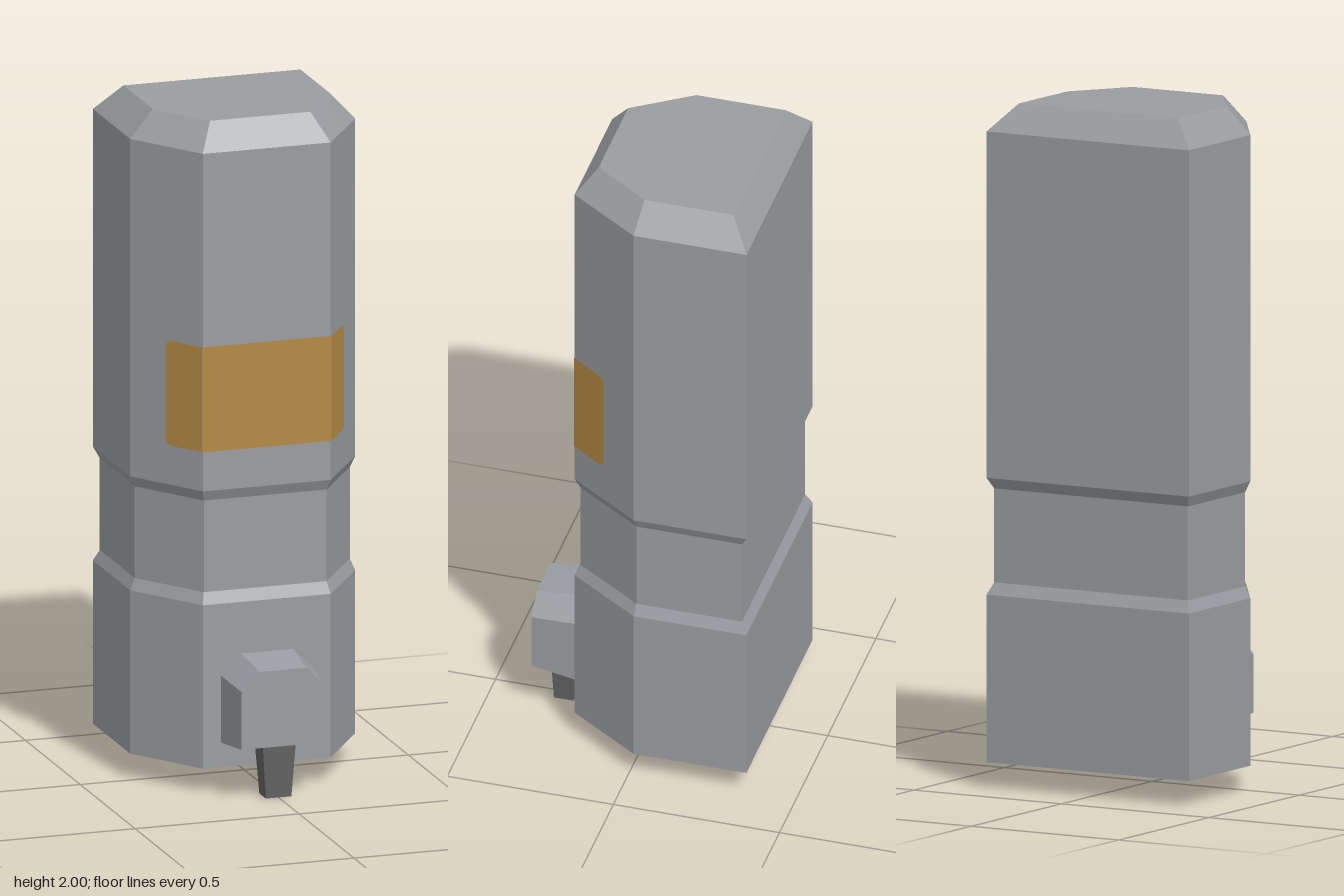
import * as THREE from 'three';

const mat = (name, color) => {
  const m = new THREE.MeshStandardMaterial({ color });
  m.name = name;
  return m;
};

// Flat-faced skin through convex rings; rings run counter-clockwise seen from the last one.
function loft(rings, { start = false, end = false } = {}) {
  const pos = [];
  const tri = (...pts) => pts.forEach((p) => pos.push(...p));
  const n = rings[0].length;
  for (let r = 0; r < rings.length - 1; r++) {
    const a = rings[r], b = rings[r + 1];
    for (let i = 0; i < n; i++) {
      const j = (i + 1) % n;
      tri(a[i], a[j], b[j]);
      tri(a[i], b[j], b[i]);
    }
  }
  const first = rings[0], last = rings[rings.length - 1];
  for (let i = 1; i < n - 1; i++) {
    if (start) tri(first[0], first[i + 1], first[i]);
    if (end) tri(last[0], last[i], last[i + 1]);
  }
  const g = new THREE.BufferGeometry();
  g.setAttribute('position', new THREE.Float32BufferAttribute(pos, 3));
  g.computeVertexNormals();
  return g;
}

// Six-sided housing section: half width, half front width, back, middle and front z
const section = (y, w, f, back, mid, front) => [
  [-w, y, back], [-w, y, mid], [-f, y, front], [f, y, front], [w, y, mid], [w, y, back],
];
const full = (y) => section(y, 0.343, 0.195, -0.355, -0.015, 0.205);
const waist = (y) => section(y, 0.328, 0.187, -0.337, -0.019, 0.19);
const cavity = (y) => section(y, 0.253, 0.147, -0.285, -0.03, 0.135);

const rectRing = (y, w, back, front) => [
  [-w, y, back], [-w, y, front], [w, y, front], [w, y, back],
];
const spoutRing = (z, w, t, bottom, mid, top) => [
  [-w, bottom, z], [w, bottom, z], [w, mid, z], [t, top, z], [-t, top, z], [-w, mid, z],
];

export function createModel() {
  const grey = mat('housing grey', 0x9a9da1);
  const dark = mat('dark grey', 0x626262);
  const amber = mat('amber label', 0xb68a45);
  const model = new THREE.Group();
  model.name = 'dispenser';
  const add = (name, geometry, material, parent = model) => {
    const mesh = new THREE.Mesh(geometry, material);
    mesh.name = name;
    parent.add(mesh);
    return mesh;
  };

  // Housing with hollow underside, pinched waist and bevelled top
  add('housing', loft([
    cavity(0.205), cavity(0.075), full(0.075),
    full(0.565), waist(0.6), waist(0.875), full(0.907),
    full(1.92), section(2, 0.27, 0.153, -0.295, -0.027, 0.145),
  ], { end: true }), grey);
  add('cavityCeiling', loft([cavity(0.205)], { start: true }), dark);

  // Spout block narrowing to the front, with a tapered nozzle below
  add('spout', loft([
    spoutRing(0.2, 0.14, 0.08, 0.148, 0.35, 0.411),
    spoutRing(0.355, 0.127, 0.071, 0.165, 0.338, 0.394),
  ], { start: true, end: true }), grey);
  add('nozzle', loft([
    rectRing(0, 0.039, 0.254, 0.313),
    rectRing(0.17, 0.051, 0.242, 0.32),
  ], { start: true, end: true }), dark);

  // Label wrapped around the front and both angled faces
  const label = new THREE.Group();
  label.name = 'label';
  model.add(label);
  const y0 = 1.025, y1 = 1.34, r = 0.025, lift = 0.003;
  const front = add('labelFront', new THREE.PlaneGeometry(0.394, y1 - y0), amber, label);
  front.position.set(0, (y0 + y1) / 2, 0.205 + lift);
  const angle = Math.atan2(0.22, 0.148), len = 0.134;
  for (const s of [1, -1]) {
    const shape = new THREE.Shape();
    shape.moveTo(0, y0);
    shape.lineTo(s * (len - r), y0);
    shape.quadraticCurveTo(s * len, y0, s * len, y0 + r);
    shape.lineTo(s * len, y1 - r);
    shape.quadraticCurveTo(s * len, y1, s * (len - r), y1);
    shape.lineTo(0, y1);
    const wing = add(s > 0 ? 'labelLeft' : 'labelRight', new THREE.ShapeGeometry(shape, 6), amber, label);
    wing.rotation.y = s * angle;
    wing.position.set(s * (0.195 + lift * Math.sin(angle)), 0, 0.205 + lift * Math.cos(angle));
  }
  return model;
}
